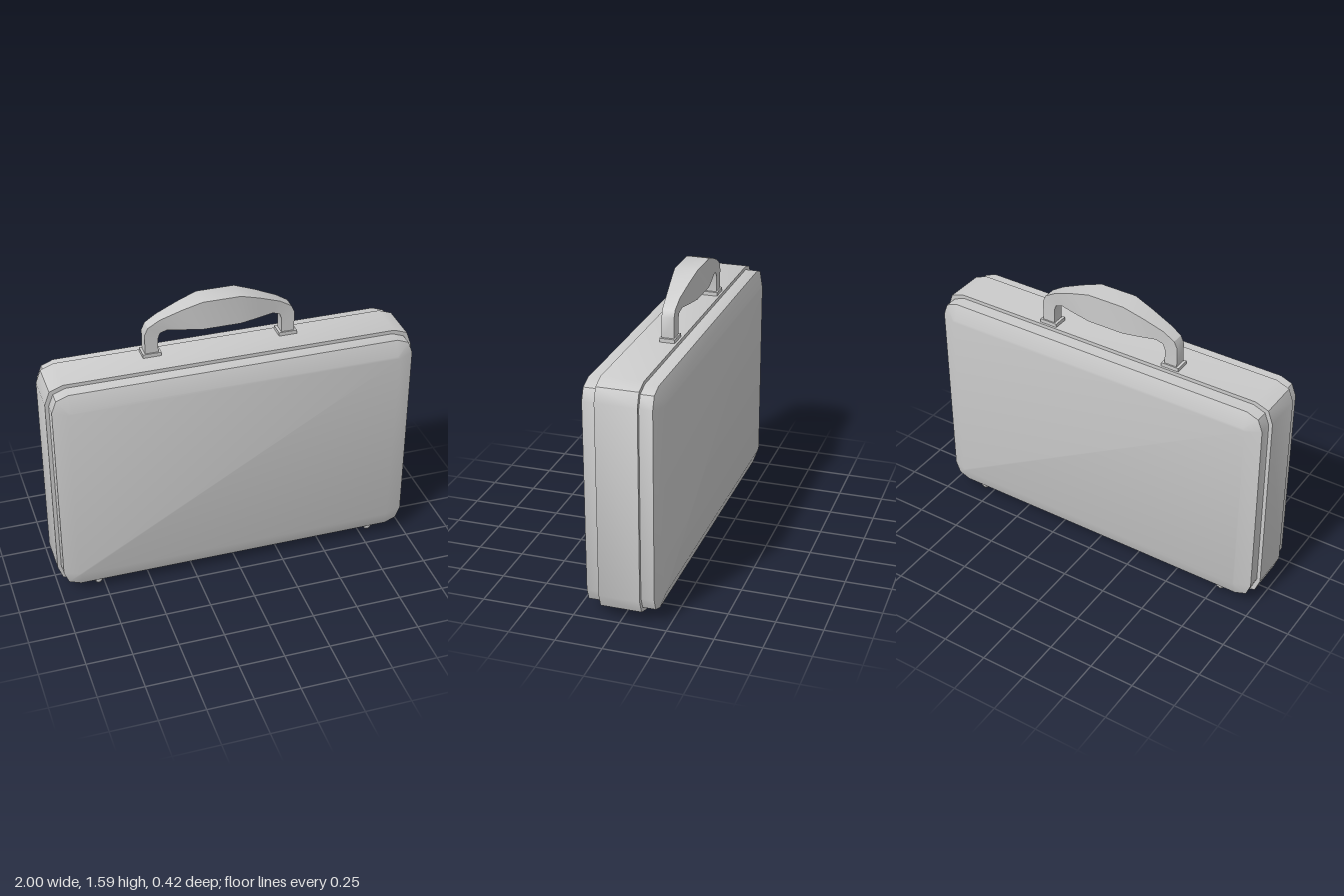
import * as THREE from 'three';
import { toCreasedNormals } from 'three/addons/utils/BufferGeometryUtils.js';

const material = new THREE.MeshStandardMaterial({ color: 0xcccccc });

function addMesh(parent, name, geometry, x = 0, y = 0, z = 0) {
  const mesh = new THREE.Mesh(geometry, material);
  mesh.name = name;
  mesh.position.set(x, y, z);
  parent.add(mesh);
  return mesh;
}

// Skin a stack of equal-length convex rings and cap both ends
function loft(rings) {
  const n = rings[0].length, index = [];
  const last = (rings.length - 1) * n;
  for (let r = 0; r < rings.length - 1; r++) {
    for (let i = 0; i < n; i++) {
      const j = (i + 1) % n, a = r * n + i, b = r * n + j;
      index.push(a, b, b + n, a, b + n, a + n);
    }
  }
  for (let i = 1; i < n - 1; i++) {
    index.push(0, i + 1, i, last, last + i, last + i + 1);
  }
  const geometry = new THREE.BufferGeometry();
  geometry.setAttribute('position', new THREE.Float32BufferAttribute(rings.flat(2), 3));
  geometry.setIndex(index);
  return toCreasedNormals(geometry, 0.5);
}

// Rectangle with two-step clipped corners, counter-clockwise from the front
const MID_Y = 0.67;
function outline(w, h, z, cut, mid) {
  const corner = [[w, h - cut], [w - mid, h - mid], [w - cut, h]];
  const back = [...corner].reverse();
  return [
    ...corner,
    ...back.map(([x, y]) => [-x, y]),
    ...corner.map(([x, y]) => [-x, -y]),
    ...back.map(([x, y]) => [x, -y]),
  ].map(([x, y]) => [x, y + MID_Y, z]);
}

export function createModel() {
  const model = new THREE.Group();
  model.name = 'briefcase';

  // Raised central band
  addMesh(model, 'centralBand', loft([
    outline(1, 0.63, -0.11, 0.1, 0.027),
    outline(1, 0.63, 0.11, 0.1, 0.027),
  ]));

  // Front and back shells with bevelled rims
  const shell = loft([
    outline(0.98, 0.61, 0.1, 0.09, 0.025),
    outline(0.98, 0.61, 0.18, 0.09, 0.025),
    outline(0.9, 0.525, 0.21, 0.015, 0.005),
  ]);
  addMesh(model, 'frontShell', shell);
  addMesh(model, 'backShell', shell).rotation.y = Math.PI;

  // Handle: half of the sections as [outer x, outer y, inner x, inner y, half depth]
  const half = [
    [-0.408, 1.31, -0.337, 1.31, 0.033],
    [-0.408, 1.43, -0.337, 1.4, 0.033],
    [-0.39, 1.47, -0.325, 1.432, 0.034],
    [-0.325, 1.51, -0.285, 1.446, 0.037],
    [-0.21, 1.555, -0.2, 1.438, 0.05],
    [-0.103, 1.59, -0.103, 1.43, 0.062],
  ];
  const sections = [
    ...half,
    ...[...half].reverse().map(([a, b, c, d, w]) => [-a, b, -c, d, w]),
  ];
  const handle = new THREE.Group();
  handle.name = 'handle';
  handle.position.set(-0.028, 0, -0.057);
  model.add(handle);
  addMesh(handle, 'grip', loft(sections.map(([ox, oy, ix, iy, w]) => [
    [ix, iy, -w], [ox, oy, -w], [ox, oy, w], [ix, iy, w],
  ])));
  for (const side of [-1, 1]) {
    addMesh(handle, 'handleMount', new THREE.BoxGeometry(0.1, 0.025, 0.082), side * 0.372, 1.308, 0);
  }

  // Small tapered feet under both shells
  for (const x of [-0.785, 0.795]) {
    for (const z of [-0.145, 0.145]) {
      addMesh(model, 'foot', new THREE.CylinderGeometry(0.026, 0.026, 0.025, 10), x, 0.053, z);
      addMesh(model, 'footTip', new THREE.CylinderGeometry(0.026, 0.015, 0.02, 10), x, 0.031, z);
    }
  }

  // Hinges: a plate with a knuckle barrel along x
  for (const x of [-0.528, 0.542]) {
    const hinge = new THREE.Group();
    hinge.name = 'hinge';
    hinge.position.x = x;
    model.add(hinge);
    addMesh(hinge, 'hingePlate', new THREE.BoxGeometry(0.14, 0.012, 0.14), 0, 0.036, 0);
    const barrel = new THREE.CylinderGeometry(0.018, 0.018, 0.178, 12).rotateZ(Math.PI / 2);
    addMesh(hinge, 'hingeBarrel', barrel, 0, 0.018, 0);
  }
  return model;
}
